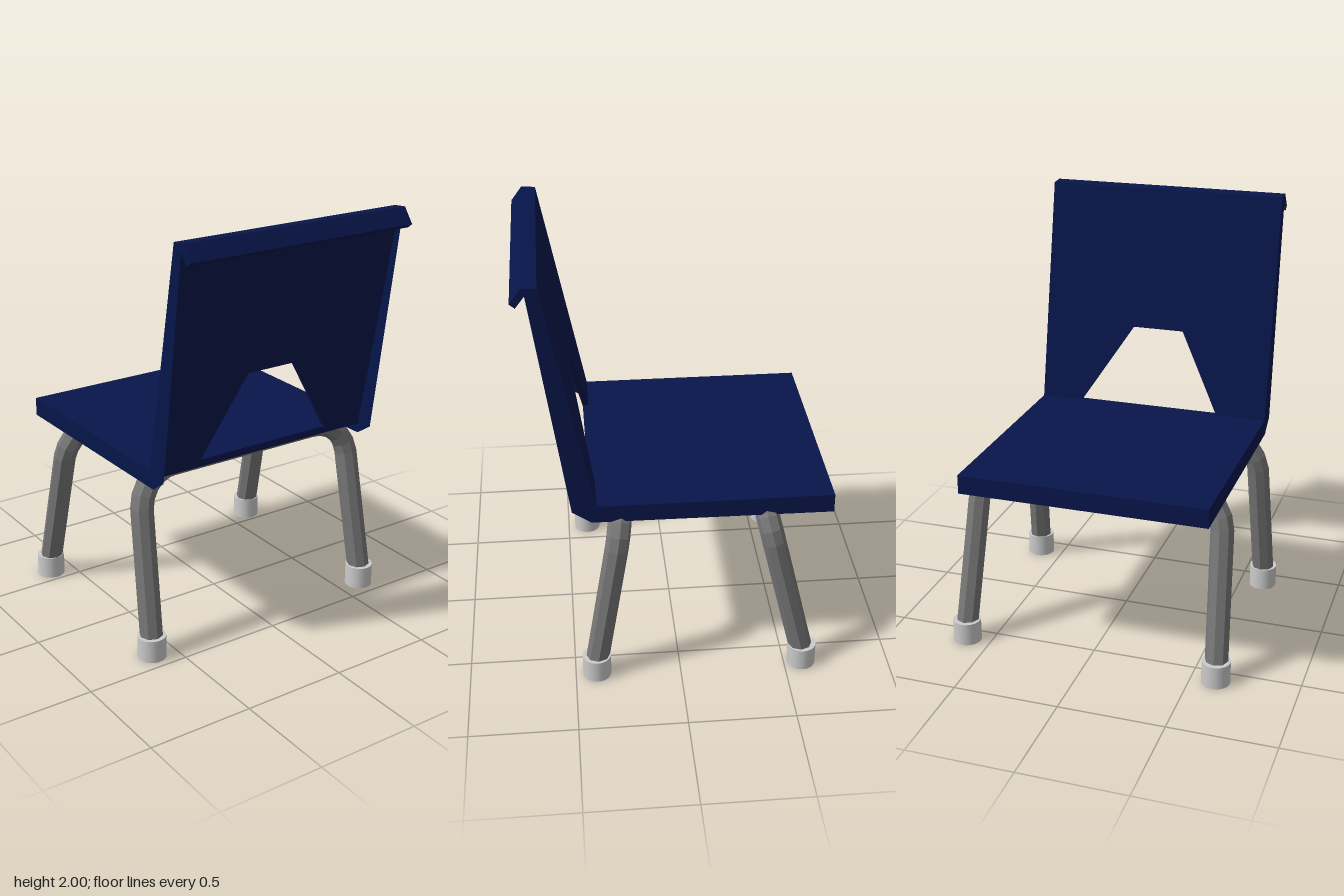
import * as THREE from 'three';

const LEFT = 0.573, RIGHT = -0.598; // side edges of the moulded shell
const WIDTH = LEFT - RIGHT, MIDDLE = (LEFT + RIGHT) / 2;
const blue = new THREE.MeshStandardMaterial({ color: 0x07154a, side: THREE.DoubleSide });
const grey = new THREE.MeshStandardMaterial({ color: 0xcccccc });
const darkGrey = new THREE.MeshStandardMaterial({ color: 0x777777, flatShading: true });

function addMesh(group, name, geometry, material) {
  const mesh = new THREE.Mesh(geometry, material);
  mesh.name = name;
  group.add(mesh);
  return mesh;
}

// Full-width thin sheet between two [z, y] points of the side profile
function sheet([z0, y0], [z1, y1]) {
  const geo = new THREE.PlaneGeometry(WIDTH, Math.hypot(z1 - z0, y1 - y0));
  geo.rotateX(Math.atan2(z1 - z0, y1 - y0));
  return geo.translate(MIDDLE, (y0 + y1) / 2, (z0 + z1) / 2);
}

// Leaning back panel with a trapezoid opening at its foot
function backPanel() {
  const outline = [
    [RIGHT, 0.9], [-0.355, 0.9], [-0.35, 0.92], [-0.148, 1.315], [0.11, 1.315],
    [0.365, 0.92], [0.37, 0.9], [LEFT, 0.9], [LEFT, 1.995], [RIGHT, 1.995],
  ];
  const shape = new THREE.Shape(outline.map(p => new THREE.Vector2(...p)));
  const geo = new THREE.ExtrudeGeometry(shape, { depth: 0.03, bevelEnabled: false });
  const pos = geo.attributes.position;
  for (let i = 0; i < pos.count; i++) {
    pos.setZ(i, pos.getZ(i) + 0.375 + (pos.getY(i) - 0.92) * 0.2);
  }
  geo.computeVertexNormals();
  return geo;
}

// Side wall that follows the whole profile of the shell
function sideWall(x) {
  const profile = [
    [-0.706, 0.83], [-0.706, 0.92], [0.375, 0.92], [0.59, 1.995], [0.655, 2],
    [0.706, 1.931], [0.682, 1.912], [0.642, 1.965], [0.487, 0.897], [0.4, 0.837],
  ];
  const geo = new THREE.ShapeGeometry(new THREE.Shape(profile.map(([z, y]) => new THREE.Vector2(-z, y))));
  return geo.rotateY(Math.PI / 2).translate(x, 0, 0);
}

// Bent round tube: two splayed legs joined by a bar under the seat
function legFrame(zFoot, zTop) {
  const pt = (x, y) => new THREE.Vector3(x, y, zFoot + (zTop - zFoot) * y / 0.85);
  const half = s => [
    pt(s * 0.62, 0.03), pt(s * 0.593, 0.69), pt(s * 0.588, 0.79), pt(s * 0.51, 0.864), pt(s * 0.41, 0.864),
  ];
  const a = half(-1), b = half(1);
  const path = new THREE.CurvePath();
  path.add(new THREE.LineCurve3(a[0], a[1]));
  path.add(new THREE.CubicBezierCurve3(a[1], a[2], a[3], a[4]));
  path.add(new THREE.LineCurve3(a[4], b[4]));
  path.add(new THREE.CubicBezierCurve3(b[4], b[3], b[2], b[1]));
  path.add(new THREE.LineCurve3(b[1], b[0]));
  return new THREE.TubeGeometry(path, 48, 0.055, 8, false);
}

export function createModel() {
  const model = new THREE.Group();
  model.name = 'chair';

  // Moulded shell, hollow underneath and behind
  const shell = new THREE.Group();
  shell.name = 'shell';
  model.add(shell);
  const seat = new THREE.BoxGeometry(WIDTH, 0.034, 1.109).translate(MIDDLE, 0.903, -0.1515);
  addMesh(shell, 'seat', seat, blue);
  addMesh(shell, 'seatRim', sheet([-0.706, 0.83], [-0.706, 0.92]), blue);
  addMesh(shell, 'backrest', backPanel(), blue);
  addMesh(shell, 'backrestTop', sheet([0.59, 1.995], [0.655, 2]), blue);
  addMesh(shell, 'backrestLip', sheet([0.655, 2], [0.706, 1.931]), blue);
  addMesh(shell, 'backrestLipEdge', sheet([0.706, 1.931], [0.682, 1.912]), blue);
  addMesh(shell, 'leftSideWall', sideWall(LEFT), blue);
  addMesh(shell, 'rightSideWall', sideWall(RIGHT), blue);

  // Leg frames with end caps
  for (const [zFoot, zTop] of [[0.41, 0.266], [-0.6, -0.395]]) {
    addMesh(model, 'legFrame', legFrame(zFoot, zTop), darkGrey);
    for (const side of [-1, 1]) {
      const cap = addMesh(model, 'footCap', new THREE.CylinderGeometry(0.067, 0.067, 0.11, 24), grey);
      cap.position.set(side * 0.618, 0.055, zFoot + (zTop - zFoot) * 0.08);
    }
  }
  return model;
}
